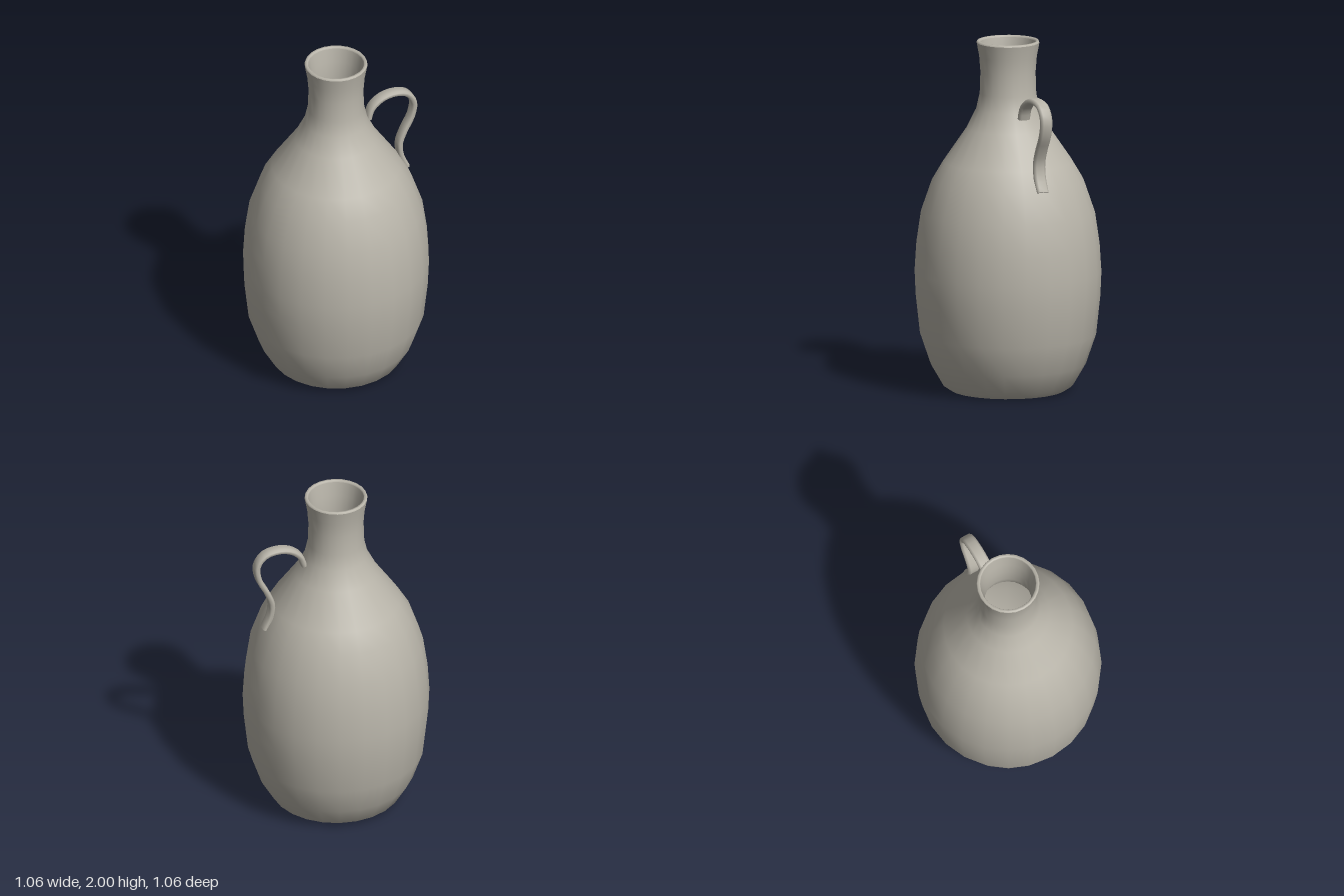
import * as THREE from 'three';
import { toCreasedNormals } from 'three/addons/utils/BufferGeometryUtils.js';

const SIDES = 24;
const points = (list) => list.map(([x, y]) => new THREE.Vector2(x, y));

export function createModel() {
  const group = new THREE.Group();
  group.name = 'jug';
  const clay = new THREE.MeshStandardMaterial({ color: 0xb9b5aa });
  clay.name = 'grey clay';

  const add = (name, geometry) => {
    const mesh = new THREE.Mesh(geometry, clay);
    mesh.name = name;
    group.add(mesh);
  };
  const turned = (name, profile) => add(name, new THREE.LatheGeometry(points(profile), SIDES));

  // Outer wall, from foot to lip
  turned('outerWall', [
    [0.325, 0], [0.37, 0.03], [0.44, 0.15], [0.498, 0.32], [0.522, 0.54], [0.528, 0.68],
    [0.518, 0.84], [0.492, 1.02], [0.43, 1.2], [0.365, 1.31], [0.235, 1.5], [0.18, 1.61],
    [0.16, 1.7], [0.156, 1.82], [0.163, 1.91], [0.178, 1.99],
  ]);

  // Lip around the mouth
  turned('lip', [[0.178, 1.99], [0.174, 2], [0.161, 2], [0.157, 1.99]]);

  // Hollow inside, from lip down to the floor
  turned('innerWall', [
    [0.157, 1.99], [0.142, 1.91], [0.132, 1.82], [0.134, 1.7], [0.155, 1.6], [0.21, 1.49],
    [0.34, 1.3], [0.405, 1.18], [0.467, 1.01], [0.493, 0.84], [0.503, 0.68], [0.497, 0.54],
    [0.473, 0.33], [0.415, 0.16], [0.33, 0.06],
  ]);
  turned('innerFloor', [[0.33, 0.06], [0, 0.06]]);

  // Slightly hollowed underside
  turned('underside', [[0, 0.03], [0.27, 0.025], [0.305, 0.005], [0.325, 0]]);

  // Strap handle: a bevelled flat section swept along an S-curve
  const path = new THREE.CatmullRomCurve3([
    [0.195, 1.58], [0.215, 1.64], [0.27, 1.688], [0.35, 1.706], [0.43, 1.685], [0.472, 1.62],
    [0.46, 1.53], [0.415, 1.44], [0.386, 1.36], [0.392, 1.28], [0.428, 1.195],
  ].map(([x, y]) => new THREE.Vector3(x, y, 0)));
  const strap = new THREE.Shape(points([
    [-0.035, -0.008], [-0.023, -0.016], [0.023, -0.016], [0.035, -0.008],
    [0.035, 0.008], [0.023, 0.016], [-0.023, 0.016], [-0.035, 0.008],
  ]));
  const handle = new THREE.ExtrudeGeometry(strap, { steps: 28, extrudePath: path });
  add('handle', toCreasedNormals(handle, 1.1));

  return group;
}
